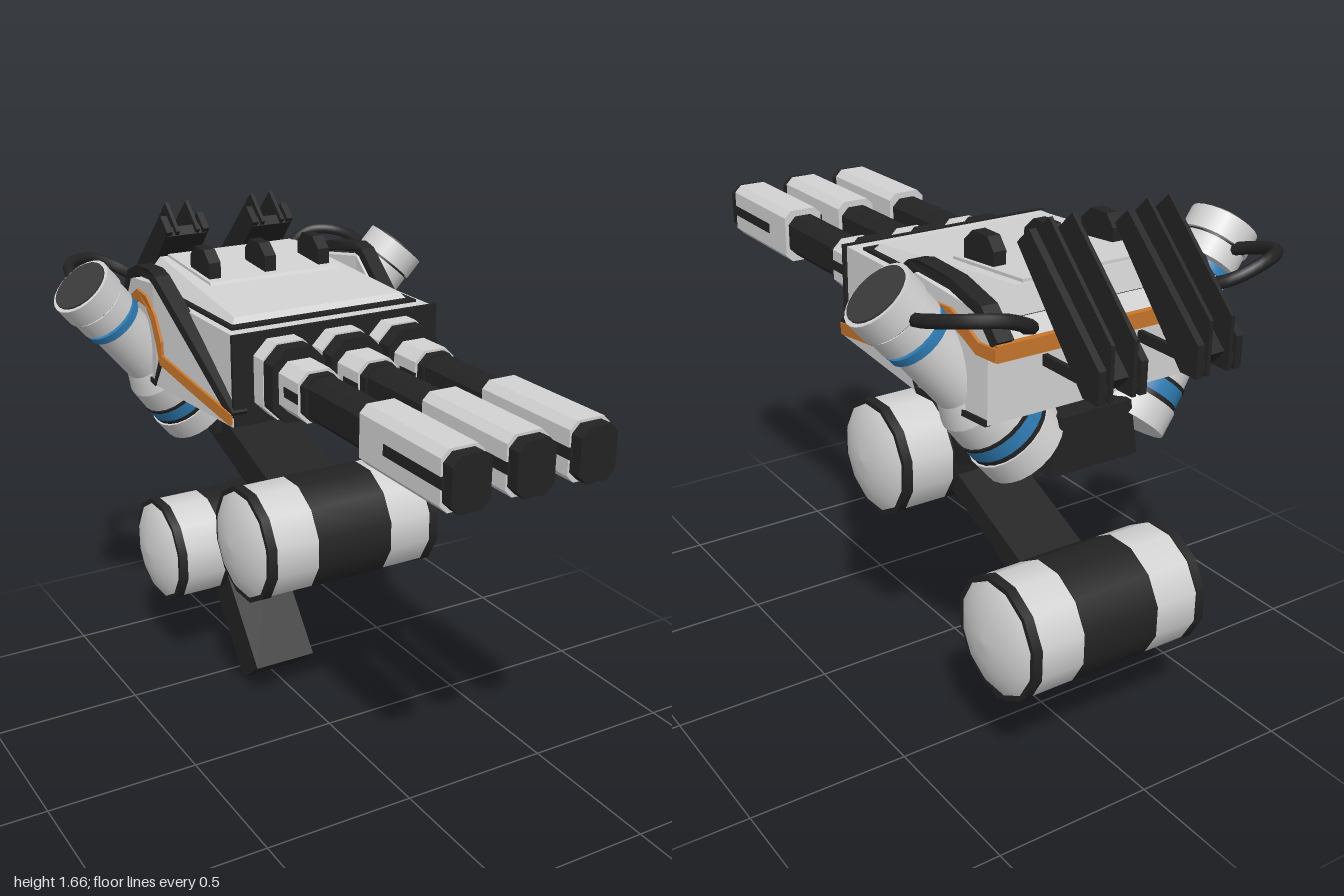
import * as THREE from 'three';

const mat = (name, color) => Object.assign(new THREE.MeshStandardMaterial({ color }), { name });
const white = mat('white armour', 0xd2d2d2);
const dark = mat('dark metal', 0x232323);
const blue = mat('blue ring', 0x2f7cb4);
const orange = mat('orange stripe', 0xc8762c);
const grey = mat('cap grey', 0x3a3a3a);

function add(parent, name, geo, material) {
  const m = new THREE.Mesh(geo, material);
  m.name = name;
  parent.add(m);
  return m;
}

const box = (w, h, d, x, y, z) => new THREE.BoxGeometry(w, h, d).translate(x, y, z);

// Extrudes a [z, y] outline along x, from x to x + depth
function sidePlate(pts, x, depth) {
  const shape = new THREE.Shape(pts.map(p => new THREE.Vector2(p[0], p[1])));
  return new THREE.ExtrudeGeometry(shape, { depth, bevelEnabled: false })
    .rotateY(-Math.PI / 2).translate(x + depth, 0, 0);
}

// Turns a [z, y] path into the outline of a stripe
function stroke(pts, width) {
  const a = [], b = [];
  pts.forEach((p, i) => {
    const q = pts[Math.max(i - 1, 0)], r = pts[Math.min(i + 1, pts.length - 1)];
    const l = Math.hypot(r[0] - q[0], r[1] - q[1]);
    const nx = -(r[1] - q[1]) / l * width / 2, ny = (r[0] - q[0]) / l * width / 2;
    a.push([p[0] + nx, p[1] + ny]);
    b.unshift([p[0] - nx, p[1] - ny]);
  });
  return a.concat(b);
}

// Pushes side panels outward so that the hull is widest beside the arms
function flare(geo) {
  const p = geo.attributes.position;
  for (let i = 0; i < p.count; i++) {
    const z = p.getZ(i);
    p.setX(i, p.getX(i) + (z > -0.45 ? 0.36 - 0.08 * z : 0.396 + 0.12 * (z + 0.45)));
  }
  geo.computeVertexNormals();
  return geo;
}

// Rectangular bar with chamfered long edges, running from z0 to z1
function bar(w, h, c, z0, z1) {
  const x = w / 2, y = h / 2;
  const s = new THREE.Shape([[x, y - c], [x - c, y], [c - x, y], [-x, y - c],
    [-x, c - y], [c - x, -y], [x - c, -y], [x, c - y]].map(p => new THREE.Vector2(p[0], p[1])));
  return new THREE.ExtrudeGeometry(s, { depth: z1 - z0, bevelEnabled: false }).translate(0, 0, z0);
}

function beam(parent, name, w, t, z0, y0, z1, y1) {
  add(parent, name, sidePlate(stroke([[z0, y0], [z1, y1]], t), -w / 2, w), dark);
}

// Joint drum lying along x
function drum(y, z) {
  const g = new THREE.Group();
  g.name = 'jointDrum';
  const cyl = (name, r, x0, x1, m) => add(g, name,
    new THREE.CylinderGeometry(r, r, x1 - x0, 12).rotateY(Math.PI / 12).rotateZ(-Math.PI / 2).translate((x0 + x1) / 2, 0, 0), m);
  cyl('drumMiddle', 0.185, -0.13, 0.13, dark);
  for (const s of [-1, 1]) {
    cyl('drumSleeve', 0.183, Math.min(s * 0.13, s * 0.275), Math.max(s * 0.13, s * 0.275), white);
    cyl('drumRim', 0.187, Math.min(s * 0.275, s * 0.305), Math.max(s * 0.275, s * 0.305), dark);
    const dome = new THREE.LatheGeometry([[0.172, 0.304], [0.15, 0.318], [0.11, 0.333], [0.06, 0.345], [0, 0.35]]
      .map(p => new THREE.Vector2(p[0], p[1])), 12);
    add(g, 'drumDome', dome.rotateY(Math.PI / 12).rotateZ(-s * Math.PI / 2), white);
  }
  g.position.set(0, y, z);
  return g;
}

// Angled shoulder arm on the left side
function arm() {
  const g = new THREE.Group();
  g.name = 'shoulderArm';
  const a = new THREE.Vector3(0.17, 1.0, -0.61), b = new THREE.Vector3(0.582, 1.49, -0.54);
  const axle = new THREE.Group();
  axle.name = 'armBarrel';
  axle.position.copy(a);
  axle.quaternion.setFromUnitVectors(new THREE.Vector3(0, 1, 0), b.clone().sub(a).normalize());
  g.add(axle);
  [['armBase', 0.132, 0.132, 0, 0.075, white], ['armSeal', 0.126, 0.126, 0.075, 0.09, dark],
    ['armBlueRing', 0.126, 0.126, 0.09, 0.135, blue], ['armSeal', 0.128, 0.128, 0.135, 0.145, dark],
    ['armCollar', 0.123, 0.118, 0.145, 0.22, white], ['armTaper', 0.118, 0.088, 0.22, 0.28, white],
    ['armNeck', 0.088, 0.088, 0.28, 0.48, white], ['neckBlueRing', 0.096, 0.096, 0.47, 0.495, blue],
    ['headLower', 0.098, 0.098, 0.505, 0.565, white], ['headGap', 0.093, 0.093, 0.565, 0.572, dark],
    ['headUpper', 0.104, 0.104, 0.572, 0.641, white], ['headCap', 0.092, 0.092, 0.641, 0.647, grey],
  ].forEach(([name, r0, r1, y0, y1, m]) =>
    add(axle, name, new THREE.CylinderGeometry(r1, r0, y1 - y0, 24).translate(0, (y0 + y1) / 2, 0), m));
  // Hose from the arm head to the back of the hull
  const hose = new THREE.CatmullRomCurve3([[0.52, 1.43, -0.6], [0.54, 1.46, -0.7], [0.51, 1.49, -0.82],
    [0.42, 1.49, -0.875], [0.33, 1.45, -0.85], [0.28, 1.41, -0.76]].map(p => new THREE.Vector3(...p)));
  add(g, 'hose', new THREE.TubeGeometry(hose, 24, 0.019, 8), dark);
  return g;
}

// Flared side panel with dark edging and orange stripe
function sidePanel() {
  const g = new THREE.Group();
  g.name = 'sidePanel';
  const panel = (name, pts, x, d, m) => add(g, name, flare(sidePlate(pts, x, d)), m);
  panel('panelFront', [[0.02, 1.155], [-0.45, 1.155], [-0.45, 1.49], [0.02, 1.18]], -0.05, 0.05, white);
  panel('panelRear', [[-0.45, 1.155], [-0.74, 1.155], [-0.74, 1.34], [-0.775, 1.37], [-0.72, 1.45], [-0.45, 1.49]], -0.05, 0.05, white);
  panel('panelEdge', stroke([[0.02, 1.19], [-0.2, 1.345], [-0.43, 1.505], [-0.47, 1.515], [-0.6, 1.5], [-0.71, 1.46], [-0.77, 1.385]], 0.032), -0.045, 0.05, dark);
  panel('panelFoot', stroke([[-0.41, 1.25], [-0.46, 1.162], [-0.74, 1.162]], 0.018), -0.01, 0.016, dark);
  panel('orangeStripe', stroke([[0.02, 1.18], [-0.2, 1.218], [-0.4, 1.255], [-0.41, 1.31], [-0.44, 1.38], [-0.5, 1.42],
    [-0.6, 1.42], [-0.67, 1.385], [-0.71, 1.36], [-0.78, 1.36]], 0.036), 0.001, 0.009, orange);
  return g;
}

function hull() {
  const g = new THREE.Group();
  g.name = 'hull';
  g.position.x = 0.018;
  add(g, 'hullCore', sidePlate([[0.01, 1.155], [-0.74, 1.155], [-0.74, 1.34], [-0.77, 1.36], [-0.72, 1.43], [0.01, 1.43]], -0.345, 0.69), white);
  add(g, 'frontPlate', box(0.71, 0.28, 0.012, 0, 1.295, 0.016), dark);
  add(g, 'rearStripe', box(0.72, 0.045, 0.02, 0, 1.362, -0.77), orange);
  add(g, 'lidGap', box(0.645, 0.012, 0.68, 0, 1.432, -0.385), dark);
  // Sloped lid, narrower on top and rising to the back
  const lid = new THREE.BoxGeometry(0.62, 0.06, 0.66).translate(0, 1.46, -0.4);
  const p = lid.attributes.position;
  for (let i = 0; i < p.count; i++) if (p.getY(i) > 1.46) {
    const front = p.getZ(i) > -0.4;
    p.setXYZ(i, p.getX(i) * (front ? 0.94 : 0.82), front ? 1.455 : 1.505, front ? -0.09 : -0.71);
  }
  const lidFlat = lid.toNonIndexed();
  lidFlat.computeVertexNormals();
  add(g, 'lid', lidFlat, white);
  add(g, 'lidStep', sidePlate([[-0.37, 1.47], [-0.38, 1.487], [-0.7, 1.513], [-0.7, 1.47]], -0.23, 0.46), white);
  for (const x of [-0.197, 0, 0.197]) {
    add(g, 'lidFin', sidePlate([[-0.41, 1.47], [-0.41, 1.54], [-0.45, 1.575], [-0.52, 1.575], [-0.55, 1.54], [-0.55, 1.47]], x - 0.02, 0.04), dark);
    const gun = new THREE.Group();
    gun.name = 'barrel';
    gun.position.set(x, 1.295, 0);
    g.add(gun);
    add(gun, 'barrelBase', bar(0.18, 0.235, 0.045, 0.01, 0.08), white);
    add(gun, 'barrelBaseRing', bar(0.174, 0.225, 0.045, 0.08, 0.135), dark);
    add(gun, 'barrelCollar', bar(0.135, 0.155, 0.03, 0.135, 0.25), white);
    add(gun, 'collarEnd', bar(0.12, 0.14, 0.03, 0.25, 0.28), dark);
    add(gun, 'barrelTube', bar(0.105, 0.13, 0.025, 0.28, 0.58), dark);
    add(gun, 'muzzle', bar(0.13, 0.17, 0.022, 0.58, 0.96), white);
    add(gun, 'muzzleTip', bar(0.118, 0.155, 0.025, 0.96, 1.0), dark);
    for (const s of [-1, 1]) {
      add(gun, 'muzzleSlot', box(0.006, 0.032, 0.27, s * 0.064, 0, 0.835), dark);
      add(gun, 'collarSlot', box(0.006, 0.03, 0.08, s * 0.067, 0, 0.21), dark);
    }
  }
  const left = sidePanel(), right = sidePanel();
  right.scale.x = -1;
  g.add(left, right);
  return g;
}

// Slanted radiator with upright fins and support rails
function radiator(x) {
  const g = new THREE.Group();
  g.name = 'radiator';
  g.position.x = x;
  const low = [[-0.65, 1.595], [-0.7, 1.64], [-1, 1.36], [-1, 1.27], [-0.94, 1.27]];
  const tall = [[-0.65, 1.595], [-0.735, 1.675], [-1, 1.42], [-1, 1.27], [-0.94, 1.27]];
  const core = [[-0.66, 1.58], [-0.685, 1.605], [-0.985, 1.32], [-0.95, 1.28]];
  add(g, 'radiatorCore', sidePlate(core, -0.07, 0.14), dark);
  for (const s of [-1, 1]) {
    add(g, 'outerFin', sidePlate(low, s * 0.065 - 0.011, 0.022), dark);
    add(g, 'innerFin', sidePlate(tall, s * 0.036 - 0.006, 0.012), dark);
    add(g, 'supportRail', box(0.016, 0.03, 0.27, s * 0.045, 1.3, -0.86), dark);
  }
  return g;
}

export function createModel() {
  const model = new THREE.Group();
  model.name = 'turret';
  // Folding stand
  beam(model, 'footStrut', 0.224, 0.143, -0.366, 0.06, -0.685, 0.46);
  beam(model, 'lowerLink', 0.224, 0.075, -0.685, 0.46, -0.015, 0.75);
  beam(model, 'upperLink', 0.25, 0.115, -0.015, 0.75, -0.6, 0.96);
  model.add(drum(0.75, -0.015), drum(0.46, -0.685));
  const yoke = new THREE.Shape([[-0.15, 0.93], [0.15, 0.93], [0.12, 1.1], [-0.12, 1.1]].map(p => new THREE.Vector2(...p)));
  add(model, 'yoke', new THREE.ExtrudeGeometry(yoke, { depth: 0.2, bevelEnabled: false }).translate(0, 0, -0.71), dark);
  // Shoulders, hull and radiators
  const left = arm(), right = arm();
  right.scale.x = -1;
  model.add(left, right, hull(), radiator(-0.157), radiator(0.157));
  return model;
}
